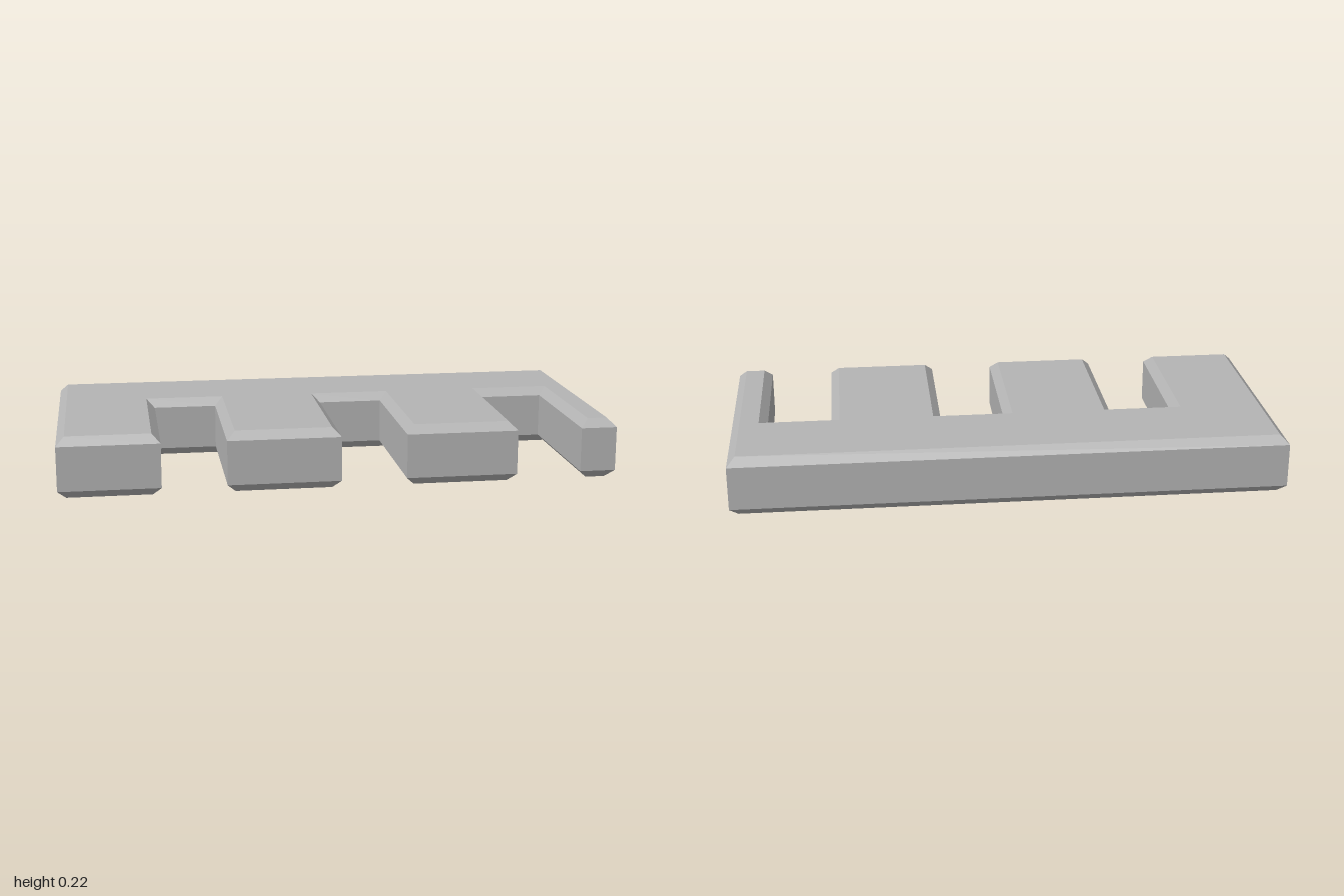
import * as THREE from 'three';

const BEVEL = 0.03;
const HEIGHT = 0.22;
const HALF_DEPTH = 0.455;
const NOTCH_END = -0.095; // z of the inner wall of every notch
const NOTCHES = [[-0.64, -0.41], [-0.005, 0.23], [0.635, 0.87]];

export function createModel() {
  const grey = new THREE.MeshStandardMaterial({ color: 0xb4b4b4 });
  grey.name = 'grey';

  // Comb outline seen from above, with shape y = -z
  const outline = new THREE.Shape();
  outline.moveTo(-1, HALF_DEPTH);
  outline.lineTo(-1, -HALF_DEPTH);
  for (const [x0, x1] of NOTCHES) {
    outline.lineTo(x0, -HALF_DEPTH);
    outline.lineTo(x0, -NOTCH_END);
    outline.lineTo(x1, -NOTCH_END);
    outline.lineTo(x1, -HALF_DEPTH);
  }
  outline.lineTo(1, -HALF_DEPTH);
  outline.lineTo(1, HALF_DEPTH);
  outline.closePath();

  // Chamfered slab, laid flat on the ground
  const geometry = new THREE.ExtrudeGeometry(outline, {
    depth: HEIGHT - 2 * BEVEL,
    bevelEnabled: true,
    bevelSegments: 1,
    bevelThickness: BEVEL,
    bevelSize: BEVEL,
    bevelOffset: -BEVEL,
  });
  geometry.rotateX(-Math.PI / 2);
  geometry.translate(0, BEVEL, 0);

  const slab = new THREE.Mesh(geometry, grey);
  slab.name = 'notchedSlab';

  const model = new THREE.Group();
  model.name = 'combPlate';
  model.add(slab);
  return model;
}
